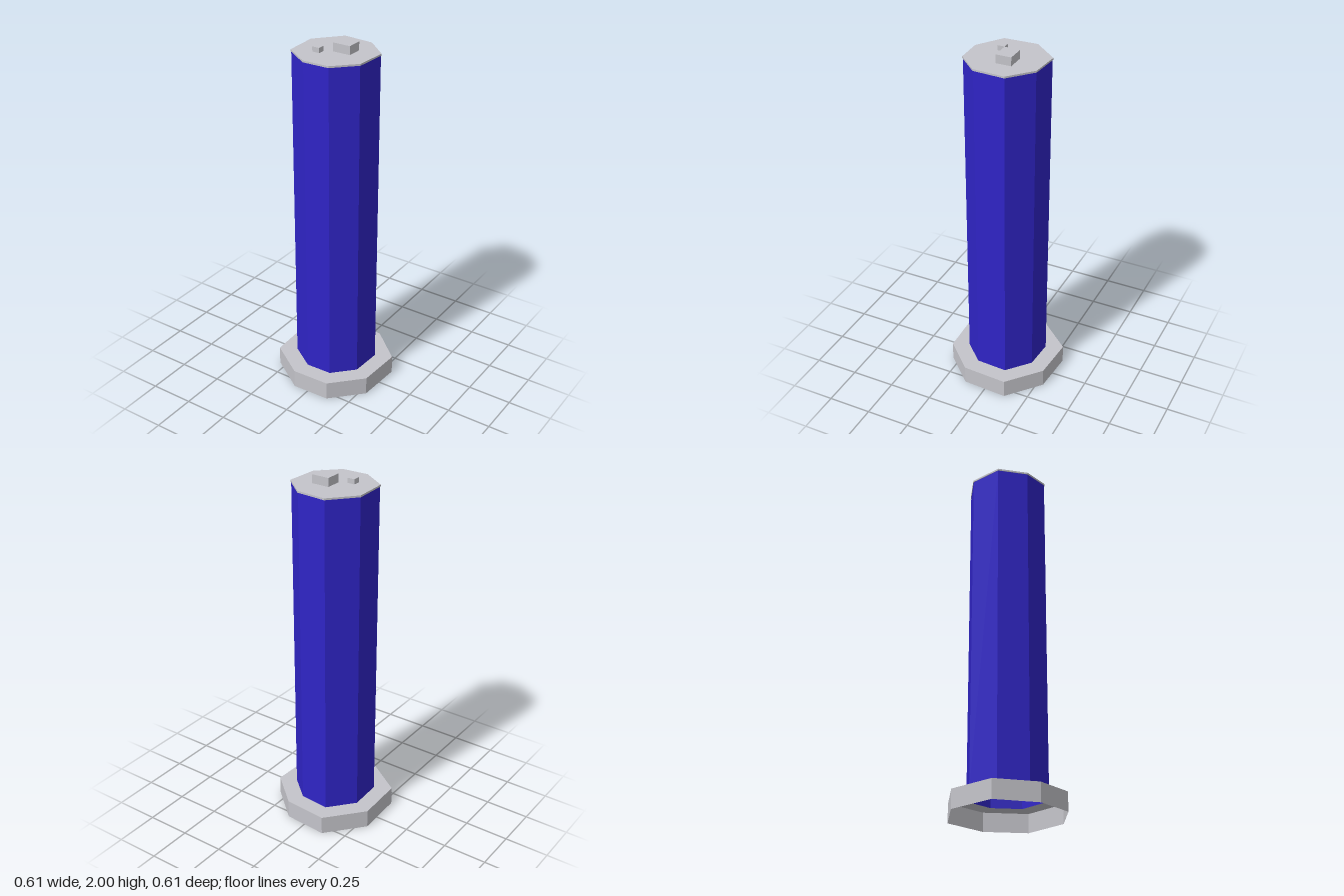
import * as THREE from 'three';

// Irregular octagon shared by plinth, column and cap, as [x, z]
const OCTAGON = [
  [-0.129, -0.304], [0.117, -0.287], [0.302, -0.126], [0.288, 0.129],
  [0.128, 0.294], [-0.088, 0.301], [-0.293, 0.164], [-0.303, -0.104],
];
const ring = (scale) => OCTAGON.map(([x, z]) => [x * scale, z * scale]);

// Open faceted wall following a ring between two heights
function wallGeometry(points, y0, y1) {
  const pos = [];
  points.forEach(([ax, az], i) => {
    const [bx, bz] = points[(i + 1) % points.length];
    pos.push(bx, y0, bz, ax, y0, az, ax, y1, az);
    pos.push(bx, y0, bz, ax, y1, az, bx, y1, bz);
  });
  const geo = new THREE.BufferGeometry();
  geo.setAttribute('position', new THREE.Float32BufferAttribute(pos, 3));
  geo.computeVertexNormals();
  return geo;
}

const toVectors = (points) => points.map(([x, z]) => new THREE.Vector2(x, -z));

export function createModel() {
  const grey = new THREE.MeshStandardMaterial({ color: 0xc4c4ca, side: THREE.DoubleSide });
  grey.name = 'light grey';
  const blue = new THREE.MeshStandardMaterial({ color: 0x2f24c6, side: THREE.DoubleSide });
  blue.name = 'deep blue';

  const group = new THREE.Group();
  group.name = 'tower';
  const add = (name, geometry, material) => {
    const mesh = new THREE.Mesh(geometry, material);
    mesh.name = name;
    group.add(mesh);
    return mesh;
  };

  const plinthTop = 0.105, capTop = 1.953, capThickness = 0.01;
  const columnRing = ring(0.69);

  // Hollow plinth: skirt and a deck with an opening under the column
  add('plinthSkirt', wallGeometry(ring(1), 0, plinthTop), grey);
  const deck = new THREE.Shape(toVectors(ring(1)));
  deck.holes.push(new THREE.Path(toVectors(columnRing)));
  add('plinthDeck', new THREE.ShapeGeometry(deck).rotateX(-Math.PI / 2), grey).position.y = plinthTop;

  // Hollow column
  add('column', wallGeometry(columnRing, plinthTop, capTop - capThickness), blue);

  // Thin roof slab, slightly overhanging the column
  const cap = new THREE.ExtrudeGeometry(new THREE.Shape(toVectors(ring(0.7))), {
    depth: capThickness, bevelEnabled: false,
  });
  add('roofSlab', cap.rotateX(-Math.PI / 2), grey).position.y = capTop - capThickness;

  // Rooftop boxes
  const roofBox = (name, x0, x1, z0, z1, top) => {
    const h = top - capTop;
    add(name, new THREE.BoxGeometry(x1 - x0, h, z1 - z0), grey)
      .position.set((x0 + x1) / 2, capTop + h / 2, (z0 + z1) / 2);
  };
  roofBox('largeRoofUnit', -0.011, 0.091, -0.067, 0.019, 2);
  roofBox('smallRoofUnit', -0.095, -0.053, 0.04, 0.08, 1.98);

  return group;
}
